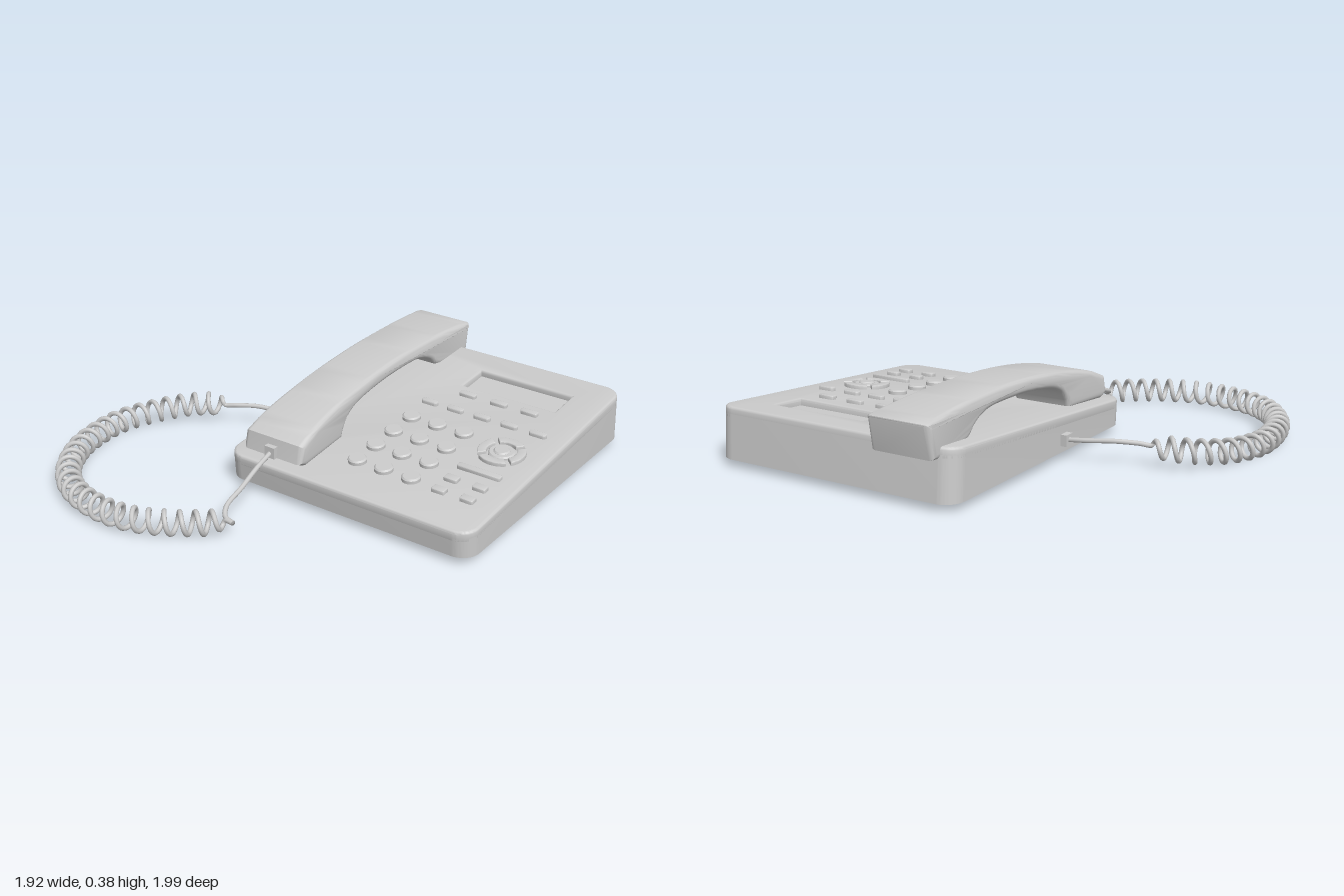
import * as THREE from 'three';
import { toCreasedNormals } from 'three/addons/utils/BufferGeometryUtils.js';

const SLOPE = 0.08;
const topY = (z) => 0.145 + (0.38 - z) * SLOPE;
const V = (x, y, z) => new THREE.Vector3(x, y, z);
const grey = new THREE.MeshStandardMaterial({ color: 0xcccccc });

function add(parent, name, geometry, x = 0, y = 0, z = 0) {
  const mesh = new THREE.Mesh(geometry, grey);
  mesh.name = name;
  mesh.position.set(x, y, z);
  parent.add(mesh);
  return mesh;
}

// Rounded rectangle seen from above; shape y is -z
function roundedRect(x0, x1, z0, z1, r) {
  const s = new THREE.Shape();
  s.absarc(x1 - r, -z0 - r, r, 0, Math.PI / 2);
  s.absarc(x0 + r, -z0 - r, r, Math.PI / 2, Math.PI);
  s.absarc(x0 + r, -z1 + r, r, Math.PI, Math.PI * 1.5);
  s.absarc(x1 - r, -z1 + r, r, Math.PI * 1.5, Math.PI * 2);
  s.closePath();
  return s;
}

// Upright slab with a bevelled rim, its top at y = 0
function slab(shape, height, bevel, segments = 3) {
  const g = new THREE.ExtrudeGeometry(shape, {
    depth: height - 2 * bevel, bevelEnabled: bevel > 0, bevelSize: bevel,
    bevelThickness: bevel, bevelOffset: -bevel, bevelSegments: segments, curveSegments: 10,
  });
  g.rotateX(-Math.PI / 2);
  g.translate(0, bevel - height, 0);
  return g;
}

function moveVertices(g, rule) {
  const p = g.attributes.position, v = V(0, 0, 0);
  for (let i = 0; i < p.count; i++) {
    rule(v.fromBufferAttribute(p, i));
    p.setXYZ(i, v.x, v.y, v.z);
  }
  return toCreasedNormals(g, 0.6);
}

function buildBase(phone) {
  const outline = () => roundedRect(-0.22, 0.96, -0.945, 0.38, 0.08);
  const lean = (v) => { v.z += (v.y - 0.1) * SLOPE; };

  // Wedge body: flat below, sloping above
  add(phone, 'baseBody', moveVertices(slab(outline(), 1, 0), (v) => {
    v.y = THREE.MathUtils.lerp(0.03, topY(v.z) - 0.03, v.y + 1);
    lean(v);
  }));

  // Top cover with the display opening
  const cover = outline();
  cover.holes.push(new THREE.Path([[0.335, 0.625], [0.335, 0.785], [0.79, 0.785], [0.79, 0.625]]
    .map(([x, y]) => new THREE.Vector2(x, y))));
  add(phone, 'topCover', moveVertices(slab(cover, 0.054, 0.012), (v) => {
    v.y += topY(v.z);
    lean(v);
  }));

  for (const x of [-0.095, 0.84]) for (const z of [0.275, -0.83])
    add(phone, 'foot', new THREE.CylinderGeometry(0.055, 0.052, 0.04, 28), x, 0.02, z);
}

function buildKeys(phone) {
  const panel = new THREE.Group();
  panel.name = 'keypad';
  panel.position.y = topY(0);
  panel.rotation.x = Math.atan(SLOPE);
  phone.add(panel);

  const key = (name, x, z, w, d, r) => add(panel, name, toCreasedNormals(
    slab(roundedRect(-w / 2, w / 2, -d / 2, d / 2, r), 0.036, 0.005), 0.6), x, 0.018, z);
  const round = (name, x, z, r, top) => add(panel, name, new THREE.LatheGeometry(
    [[r, -0.02], [r, top - 0.006], [r, top - 0.006], [r - 0.006, top], [r - 0.006, top], [0, top]]
      .map(([a, b]) => new THREE.Vector2(a, b)), 32), x, 0, z);

  for (const x of [0.405, 0.56, 0.71]) key('softKey', x, -0.54, 0.08, 0.03, 0.009);
  for (const x of [0.295, 0.425, 0.557, 0.69, 0.827]) key('functionKey', x, -0.4, 0.08, 0.03, 0.013);
  for (const x of [0.295, 0.425, 0.557]) for (const z of [-0.25, -0.11, 0.025, 0.16])
    round('numberKey', x, z, 0.04, 0.02);
  key('longKey', 0.768, -0.02, 0.2, 0.03, 0.009);
  for (const x of [0.7, 0.83]) for (const z of [0.08, 0.175]) key('smallKey', x, z, 0.06, 0.037, 0.006);

  // Navigation wheel: four arc keys around a centre key
  for (let i = 0; i < 4; i++) {
    const s = new THREE.Shape();
    const a = i * Math.PI / 2;
    s.absarc(0, 0, 0.102, a - 0.68, a + 0.68, false);
    s.absarc(0, 0, 0.064, a + 0.64, a - 0.64, true);
    s.closePath();
    add(panel, 'arrowKey', toCreasedNormals(slab(s, 0.036, 0.004), 0.6), 0.768, 0.018, -0.2);
  }
  round('wheelRing', 0.768, -0.2, 0.057, 0.014);
  round('centreKey', 0.768, -0.2, 0.035, 0.021);
}

function buildHandset(phone) {
  // Side outline as [z, y]
  const at = ([z, y]) => new THREE.Vector2(-z, y);
  const back = [[0.328, 0.247], [0.19, 0.298], [-0.075, 0.347], [-0.37, 0.373], [-0.65, 0.375], [-0.85, 0.366], [-0.985, 0.353], [-1, 0.34]];
  const grip = [[-0.715, 0.236], [-0.665, 0.277], [-0.57, 0.308], [-0.4, 0.311], [-0.25, 0.302], [-0.1, 0.28], [-0.02, 0.247], [0.02, 0.198]];
  const s = new THREE.Shape();
  s.moveTo(-0.343, 0.168);
  s.lineTo(-0.328, 0.247);
  s.splineThru(back.slice(1).map(at));
  s.lineTo(0.973, 0.204);
  s.lineTo(0.93, 0.2);
  s.lineTo(0.74, 0.222);
  s.lineTo(0.715, 0.236);
  s.splineThru(grip.slice(1).map(at));
  s.lineTo(-0.03, 0.165);
  s.lineTo(-0.3, 0.148);
  s.closePath();
  const b = 0.024;
  const g = new THREE.ExtrudeGeometry(s, {
    depth: 0.302 - 2 * b, bevelSize: b, bevelThickness: b, bevelOffset: -b,
    bevelSegments: 5, curveSegments: 4,
  });
  g.translate(0, 0, b - 0.151);
  g.rotateY(Math.PI / 2);
  // Waisted in the middle, slightly narrower towards the top
  add(phone, 'handset', moveVertices(g, (v) => {
    const waist = 0.9 + 0.1 * Math.min(1, ((v.z + 0.33) / 0.67) ** 2);
    v.x *= waist * (1 - 0.25 * Math.max(0, v.y - 0.2));
    v.x -= 0.01;
  }));
}

function buildCord(phone) {
  add(phone, 'baseJack', new THREE.BoxGeometry(0.04, 0.05, 0.05), -0.228, 0.085, -0.14);
  add(phone, 'handsetJack', new THREE.BoxGeometry(0.05, 0.05, 0.04), -0.01, 0.192, 0.338);

  // Coil wound around a looping centre line
  const line = new THREE.CatmullRomCurve3([
    [-0.59, 0.09, -0.055], [-0.72, 0.075, 0.01], [-0.83, 0.06, 0.13], [-0.9, 0.055, 0.3], [-0.9, 0.055, 0.46],
    [-0.86, 0.055, 0.62], [-0.76, 0.055, 0.78], [-0.63, 0.055, 0.88], [-0.45, 0.055, 0.93], [-0.28, 0.055, 0.92],
    [-0.12, 0.055, 0.85], [-0.01, 0.055, 0.77], [0.05, 0.055, 0.72],
  ].map((p) => V(...p)));
  const turns = 30, steps = turns * 12, points = [];
  points.push(V(-0.235, 0.085, -0.14), V(-0.32, 0.092, -0.132), V(-0.44, 0.1, -0.1), V(-0.53, 0.095, -0.06));
  for (let i = 0; i <= steps; i++) {
    const t = i / steps, angle = t * turns * Math.PI * 2;
    const tangent = line.getTangentAt(t);
    const side = V(tangent.z, 0, -tangent.x).normalize();
    const r = 0.046 * Math.min(1, 0.35 + t * 25, 0.35 + (1 - t) * 25);
    points.push(line.getPointAt(t).addScaledVector(side, r * Math.cos(angle))
      .add(V(0, r * Math.sin(angle), 0)));
  }
  points.push(V(0.085, 0.055, 0.71), V(0.03, 0.06, 0.695), V(0.0, 0.08, 0.65), V(-0.004, 0.115, 0.55),
    V(-0.008, 0.16, 0.44), V(-0.01, 0.19, 0.345));
  const path = new THREE.CatmullRomCurve3(points);
  path.arcLengthDivisions = 4000;
  add(phone, 'coiledCord', new THREE.TubeGeometry(path, 900, 0.0105, 8));
}

export function createModel() {
  const phone = new THREE.Group();
  phone.name = 'deskPhone';
  buildBase(phone);
  buildKeys(phone);
  buildHandset(phone);
  buildCord(phone);
  return phone;
}
